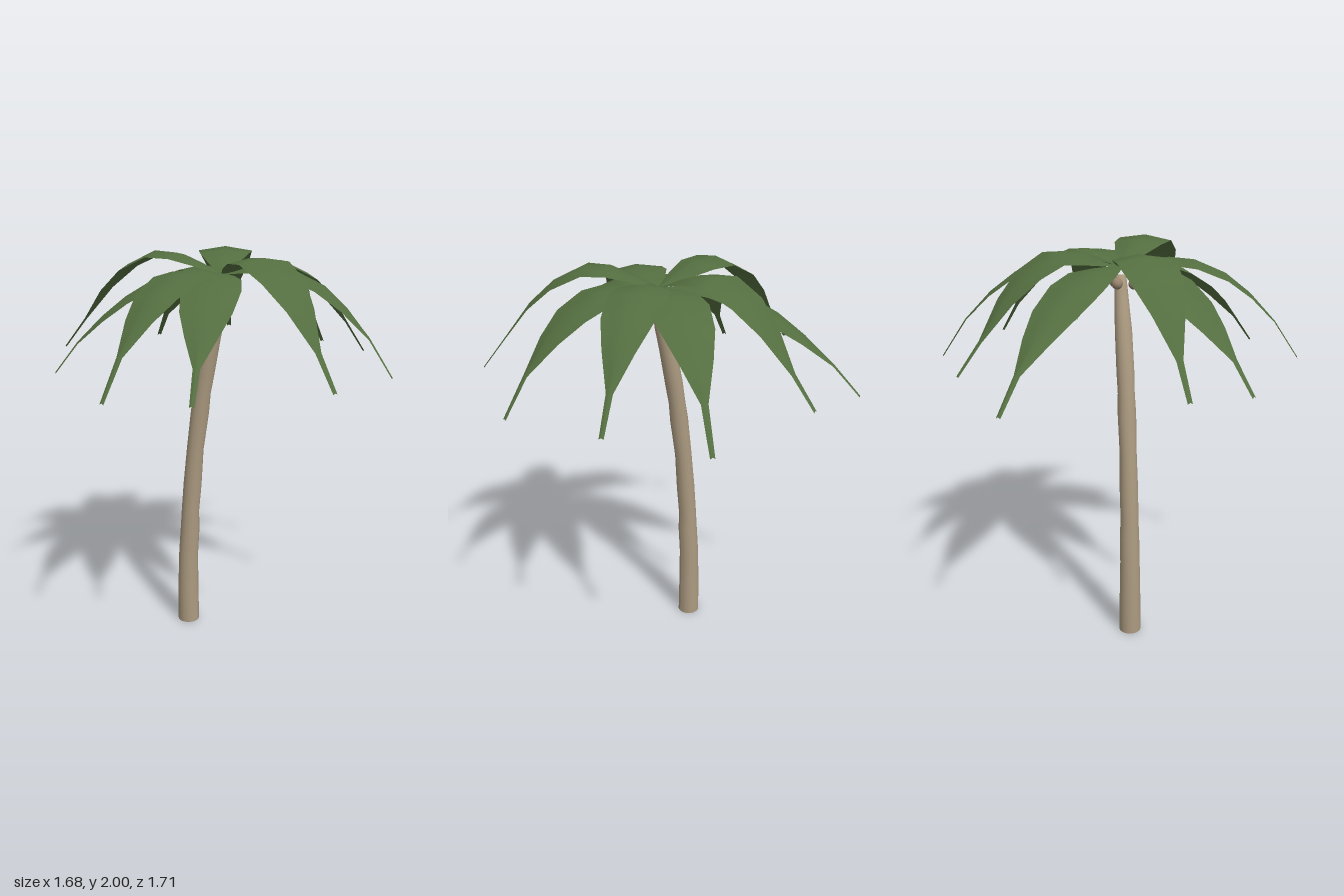
import * as THREE from 'three';

const flat = (name, color, extra = {}) => {
  const m = new THREE.MeshStandardMaterial({ color, ...extra });
  m.name = name;
  return m;
};

// Skin a list of equal-length cross-sections with smooth quads.
function loft(rows) {
  const n = rows[0].length, index = [];
  for (let i = 0; i < rows.length - 1; i++) {
    for (let j = 0; j < n - 1; j++) {
      const a = i * n + j, b = a + 1, c = a + n, d = c + 1;
      index.push(a, b, c, b, d, c);
    }
  }
  const g = new THREE.BufferGeometry();
  g.setAttribute('position', new THREE.Float32BufferAttribute(rows.flat(2), 3));
  g.setIndex(index);
  g.computeVertexNormals();
  return g;
}

// Frond stations: fraction of length, half width, edge droop, and heights for each arc.
const STATION = [0, 0.14, 0.27, 0.4, 0.57, 0.71, 0.86, 1];
const WIDTH = [0.008, 0.075, 0.122, 0.137, 0.118, 0.075, 0.016, 0.011];
const DROOP = [0.003, 0.014, 0.02, 0.022, 0.02, 0.016, 0.009, 0.007];
const ARC = {
  high: [1.895, 1.95, 1.99, 1.998, 1.927, 1.818, 1.65],
  raised: [1.895, 1.942, 1.962, 1.95, 1.885, 1.785, 1.635],
  mid: [1.895, 1.925, 1.94, 1.928, 1.865, 1.77, 1.63],
  low: [1.895, 1.915, 1.915, 1.88, 1.8, 1.71, 1.59],
};

// Tip x, z, y and arc of each frond.
const FRONDS = [
  [0.28, -0.85, 1.445, 'mid'], [-0.28, -0.81, 1.505, 'high'],
  [-0.675, -0.675, 1.445, 'low'], [-0.84, 0.08, 1.5, 'high'],
  [-0.685, 0.42, 1.445, 'low'], [-0.18, 0.85, 1.45, 'mid'],
  [0.185, 0.75, 1.45, 'low'], [0.715, 0.485, 1.495, 'high'],
  [0.84, -0.07, 1.45, 'mid'], [0.6, -0.515, 1.475, 'raised'],
];

// Bent blade that swells, narrows to a neck and ends in a strip.
function frondGeometry([tx, tz, ty, arc]) {
  const cx = 0.01, dx = tx - cx, len = Math.hypot(dx, tz);
  const sx = -tz / len, sz = dx / len;
  return loft(STATION.map((t, i) => {
    const y = i < 7 ? ARC[arc][i] : ty;
    return [1, 0.5, 0, -0.5, -1].map((s) => {
      const w = s * WIDTH[i];
      return [cx + dx * t + sx * w, y - Math.abs(s) * DROOP[i], tz * t + sz * w];
    });
  }));
}

// Leaning trunk: centre x, y and radius of each ring.
const RINGS = [
  [-0.19, 0, 0.057], [-0.19, 0.2, 0.055], [-0.186, 0.4, 0.051],
  [-0.175, 0.55, 0.05], [-0.172, 0.65, 0.046], [-0.158, 0.8, 0.047],
  [-0.14, 1, 0.043], [-0.112, 1.2, 0.046], [-0.098, 1.3, 0.042],
  [-0.08, 1.4, 0.044], [-0.04, 1.6, 0.042], [-0.012, 1.7, 0.037],
  [0.009, 1.8, 0.031], [0.018, 1.855, 0.027], [0.018, 1.856, 0],
];

function trunkGeometry(sides = 16) {
  return loft(RINGS.map(([x, y, r]) => Array.from({ length: sides + 1 }, (_, j) => {
    const a = -(j % sides) / sides * Math.PI * 2;
    return [x + Math.cos(a) * r, y - Math.cos(a) * r * (y > 0.3 ? 0.12 : 0), Math.sin(a) * r];
  })));
}

export function createModel() {
  const model = new THREE.Group();
  model.name = 'palmTree';
  const bark = flat('bark', 0xab9a80, { side: THREE.DoubleSide });
  const leaf = flat('leaf green', 0x546e40, { side: THREE.DoubleSide });
  const nut = flat('nut brown', 0x98836e);

  const add = (parent, name, geometry, material) => {
    const mesh = new THREE.Mesh(geometry, material);
    mesh.name = name;
    parent.add(mesh);
    return mesh;
  };

  // Trunk, open at the foot
  add(model, 'trunk', trunkGeometry(), bark);

  // Crown of fronds
  const crown = new THREE.Group();
  crown.name = 'crown';
  FRONDS.forEach((f) => add(crown, 'frond', frondGeometry(f), leaf));
  model.add(crown);

  // Three nuts around the trunk top
  const nuts = new THREE.Group();
  nuts.name = 'nuts';
  for (const p of [[0.008, 1.81, 0.064], [0.07, 1.812, -0.015], [-0.037, 1.825, -0.03]]) {
    add(nuts, 'nut', new THREE.SphereGeometry(0.027, 14, 10), nut).position.set(...p);
  }
  model.add(nuts);
  return model;
}
